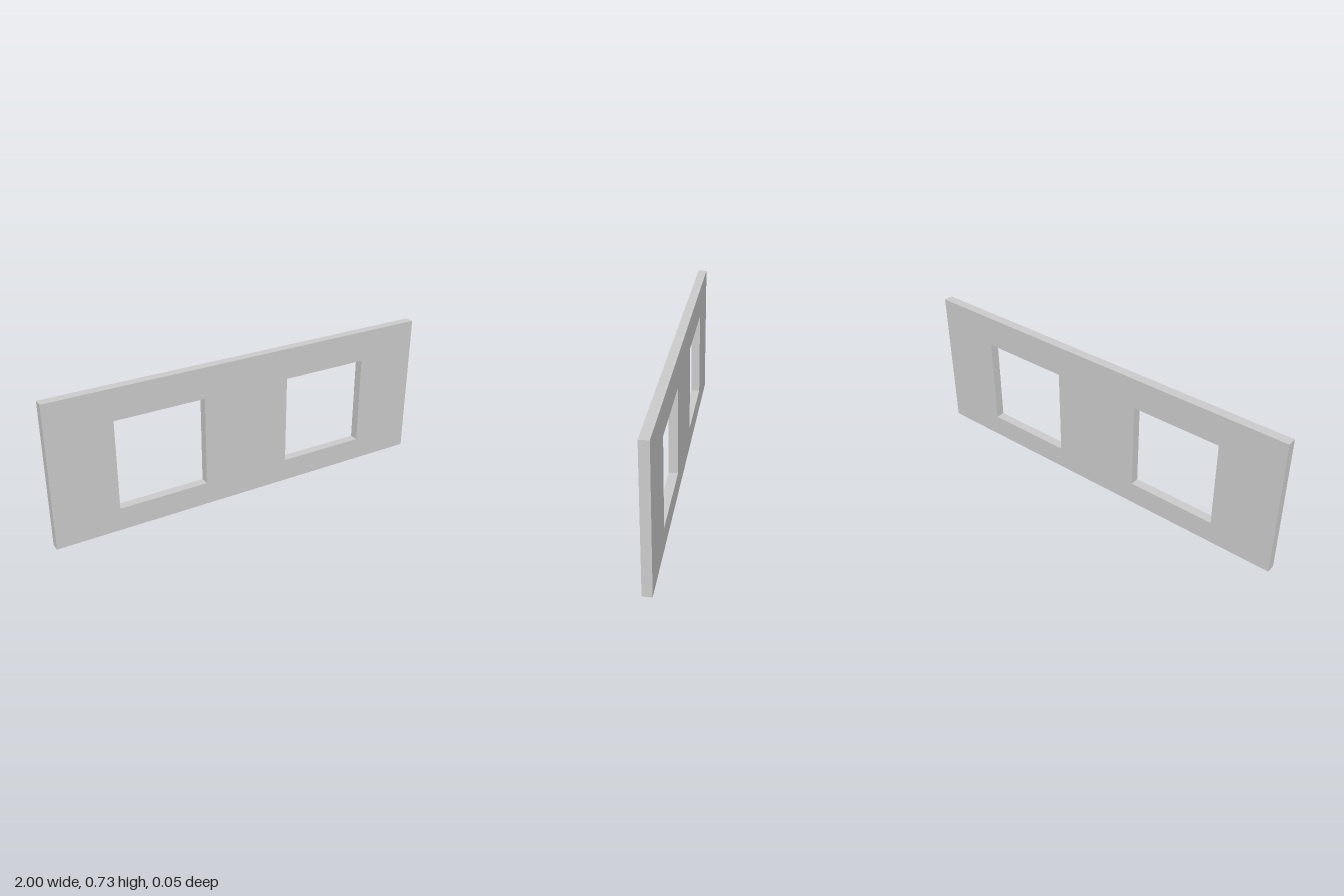
import * as THREE from 'three';

const WIDTH = 2, HEIGHT = 0.727, DEPTH = 0.0455;
const OPENING = { inner: 0.227, outer: 0.682, bottom: 0.116, top: 0.57 };

// Closed rectangle traced on a shape or hole path
function rectangle(path, x0, y0, x1, y1) {
  path.moveTo(x0, y0);
  path.lineTo(x1, y0);
  path.lineTo(x1, y1);
  path.lineTo(x0, y1);
  path.closePath();
  return path;
}

export function createModel() {
  const group = new THREE.Group();
  group.name = 'wallPanel';

  // Flat wall slab
  const outline = rectangle(new THREE.Shape(), -WIDTH / 2, 0, WIDTH / 2, HEIGHT);

  // Mirrored pair of square window openings
  const { inner, outer, bottom, top } = OPENING;
  for (const side of [-1, 1]) {
    outline.holes.push(rectangle(new THREE.Path(), side * inner, bottom, side * outer, top));
  }

  const geometry = new THREE.ExtrudeGeometry(outline, { depth: DEPTH, bevelEnabled: false });
  geometry.translate(0, 0, -DEPTH / 2);

  const wall = new THREE.Mesh(
    geometry,
    new THREE.MeshStandardMaterial({ color: 0xcccccc, flatShading: true })
  );
  wall.name = 'wallWithWindowOpenings';
  group.add(wall);
  return group;
}
